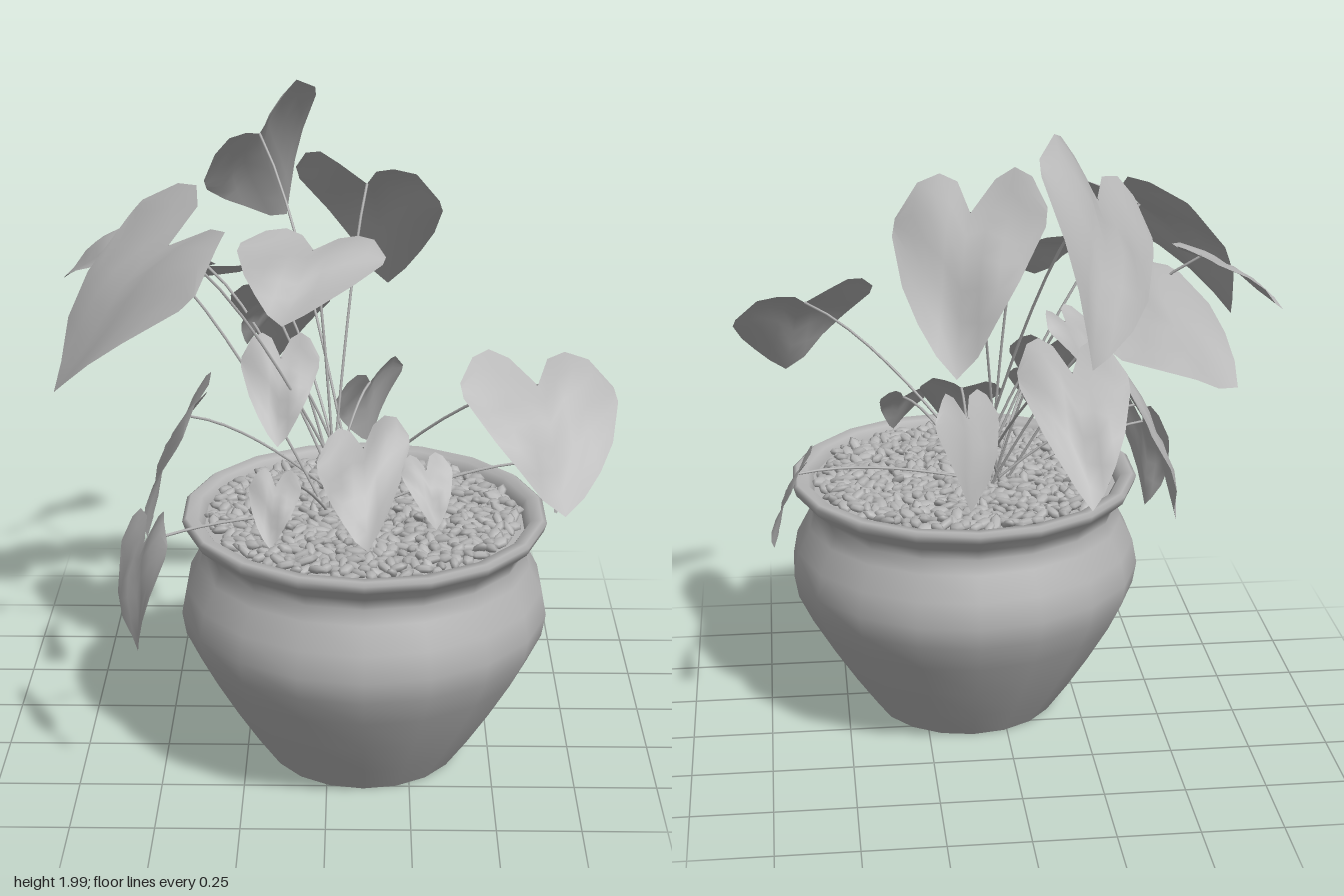
import * as THREE from 'three';
import { mergeGeometries } from 'three/addons/utils/BufferGeometryUtils.js';

const V = (p) => new THREE.Vector3(...p);
const CENTER = [0.11, 0.22]; // pot axis in x, z

// Large leaves: widest point on either side, then the tip
const LARGE = {
  topBackLeaf: [[-0.38, 1.67, -0.28], [-0.05, 1.95, -0.42], [-0.17, 1.46, -0.78]],
  backRightLeaf: [[-0.11, 1.74, -0.17], [0.33, 1.69, -0.02], [0.19, 1.33, -0.43]],
  backLeftLeaf: [[-0.26, 1.36, -0.37], [-0.5, 1.51, 0.03], [-0.64, 1.27, -0.4]],
  hangingBackLeaf: [[-0.32, 1.28, -0.34], [0, 1.3, -0.32], [-0.18, 1, -0.65]],
  farLeftLeaf: [[-0.57, 1.58, -0.2], [-0.6, 1.53, 0.09], [-0.83, 1.42, -0.14]],
  bigFrontLeftLeaf: [[-0.54, 1.69, 0.02], [-0.36, 1.57, 0.55], [-0.8, 1.25, 0.42]],
  centreLeaf: [[-0.26, 1.58, 0.08], [0.17, 1.55, 0.1], [-0.13, 1.42, 0.34]],
  bigFrontRightLeaf: [[0.37, 1.31, 0.55], [0.82, 1.26, 0.42], [0.67, 1, 0.74]],
  lowFrontLeaf: [[-0.03, 1, 0.37], [0.24, 1.06, 0.29], [0.12, 0.82, 0.58]],
  hangingFrontLeaf: [[-0.59, 0.79, 0.45], [-0.45, 0.85, 0.63], [-0.56, 0.5, 0.6]],
  hangingLeftLeaf: [[-0.41, 1.04, -0.08], [-0.43, 1.04, 0.26], [-0.58, 0.65, 0.1]],
  hangingRightLeaf: [[0.61, 0.87, 0.18], [0.66, 0.88, -0.12], [0.73, 0.67, -0.05]],
  innerBackLeaf: [[0.03, 1.06, 0], [0.23, 1.11, -0.2], [0.12, 0.84, -0.25]],
};

// Small leaves droop alike: tip, heading from +x towards +z, length
const SMALL = {
  middleLeaf: [[-0.15, 1.02, 0.28], 1.6, 0.28],
  lowFrontLeftLeaf: [[-0.16, 0.86, 0.66], 1.7, 0.18],
  innerDarkLeaf: [[-0.26, 1.21, -0.12], -2.3, 0.19],
  smallFrontRightLeaf: [[0.32, 0.85, 0.5], 1.3, 0.18],
};

// Heart outline at |u| = 0, .25, .5, .75, 1: lobe edge and tip edge
const LOBE = [0, -0.24, -0.3, -0.22, 0];
const POINT = [1, 0.88, 0.7, 0.47, 0.12];

// Returns a function from leaf coordinates (u across, v along) to space
function leafSurface(mid, across, along) {
  const normal = across.clone().cross(along).normalize();
  if (normal.y < 0) normal.negate();
  const size = along.length();
  return (u, v) => {
    // raised back, creased midrib and a gentle ripple
    const lift = 0.26 * (v + 0.3) * (1 - v) + 0.1 * Math.abs(u) - 0.1 * u * u
      + 0.025 * Math.sin(7 * v + 4 * u);
    return mid.clone().addScaledVector(across, u).addScaledVector(along, v)
      .addScaledVector(normal, (lift - 0.06) * size);
  };
}

function largeSurface([a, b, tip]) {
  const mid = V(a).add(V(b)).multiplyScalar(0.5);
  return leafSurface(mid, V(b).sub(mid), V(tip).sub(mid));
}

function smallSurface([tip, heading, size]) {
  const c = Math.cos(heading), s = Math.sin(heading);
  const along = V([c * 0.64, -0.77, s * 0.64]).multiplyScalar(size);
  const across = V([-s, 0, c]).multiplyScalar(size * 0.42);
  return leafSurface(V(tip).sub(along), across, along);
}

function leafGeometry(at) {
  const pos = [], index = [], rows = 6;
  for (let i = 0; i <= 8; i++) {
    const u = (i - 4) / 4, k = Math.abs(i - 4);
    for (let j = 0; j <= rows; j++) {
      const v = THREE.MathUtils.lerp(LOBE[k], POINT[k], j / rows);
      pos.push(...at(u, v).toArray());
      if (i < 8 && j < rows) {
        const p = i * (rows + 1) + j, q = p + rows + 1;
        index.push(p, p + 1, q, q, p + 1, q + 1);
      }
    }
  }
  const g = new THREE.BufferGeometry();
  g.setAttribute('position', new THREE.Float32BufferAttribute(pos, 3));
  g.setIndex(index);
  g.computeVertexNormals();
  return g;
}

function stemGeometry(end, i) {
  const a = i * 2.4;
  const start = V([0.04 + 0.05 * Math.cos(a), 0.76, 0.16 + 0.05 * Math.sin(a)]);
  const bend = start.clone().lerp(end, 0.6);
  bend.y = 0.83 + (end.y - 0.8) * 0.8;
  return new THREE.TubeGeometry(new THREE.QuadraticBezierCurve3(start, bend, end), 10, 0.0045, 5);
}

// Scattered pebbles, merged into one geometry
function pebbleGeometry() {
  let seed = 7;
  const rnd = () => (seed = (seed * 16807) % 2147483647) / 2147483647;
  const base = new THREE.SphereGeometry(1, 6, 4);
  const list = [];
  for (let i = 0; i < 700; i++) {
    const r = 0.46 * Math.sqrt((i + 0.5) / 700), a = i * 2.39996;
    const m = new THREE.Matrix4().compose(
      V([CENTER[0] + r * Math.cos(a), 0.772 + 0.018 * rnd(), CENTER[1] + r * Math.sin(a)]),
      new THREE.Quaternion().setFromEuler(new THREE.Euler(rnd() - 0.5, rnd() * 6.28, rnd() - 0.5)),
      V([0.027 + 0.012 * rnd(), 0.013, 0.014 + 0.008 * rnd()]));
    list.push(base.clone().applyMatrix4(m));
  }
  return mergeGeometries(list);
}

export function createModel() {
  const group = new THREE.Group();
  const grey = new THREE.MeshStandardMaterial({ color: 0xb4b4b4, side: THREE.DoubleSide });
  grey.name = 'plain grey';
  const add = (name, geometry, parent = group) => {
    const mesh = new THREE.Mesh(geometry, grey);
    mesh.name = name;
    parent.add(mesh);
    return mesh;
  };

  // Round-bellied pot with a flared rim
  const profile = [[0.295, 0], [0.365, 0.1], [0.435, 0.21], [0.505, 0.33], [0.548, 0.42], [0.56, 0.49],
    [0.545, 0.57], [0.505, 0.645], [0.49, 0.69], [0.5, 0.725], [0.545, 0.765], [0.553, 0.79],
    [0.54, 0.8], [0.505, 0.795], [0.488, 0.765], [0.485, 0.72]].map((p) => new THREE.Vector2(...p));
  add('pot', new THREE.LatheGeometry(profile, 18)).position.set(CENTER[0], 0, CENTER[1]);

  // Flat discs closing the pot below and holding the soil above
  const disc = (name, radius, y, turn) => {
    const mesh = add(name, new THREE.CircleGeometry(radius, 18));
    mesh.rotation.set(turn, 0, Math.PI / 2);
    mesh.position.set(CENTER[0], y, CENTER[1]);
  };
  disc('potBase', 0.295, 0, Math.PI / 2);
  disc('soil', 0.486, 0.765, -Math.PI / 2);
  add('pebbles', pebbleGeometry());

  // Heart-shaped leaves on thin arching stems
  const leaves = [
    ...Object.entries(LARGE).map(([name, pts]) => [name, largeSurface(pts)]),
    ...Object.entries(SMALL).map(([name, spec]) => [name, smallSurface(spec)]),
  ];
  leaves.forEach(([name, at], i) => {
    const part = new THREE.Group();
    part.name = name;
    add('blade', leafGeometry(at), part);
    add('stem', stemGeometry(at(0, 0), i), part);
    group.add(part);
  });
  return group;
}
